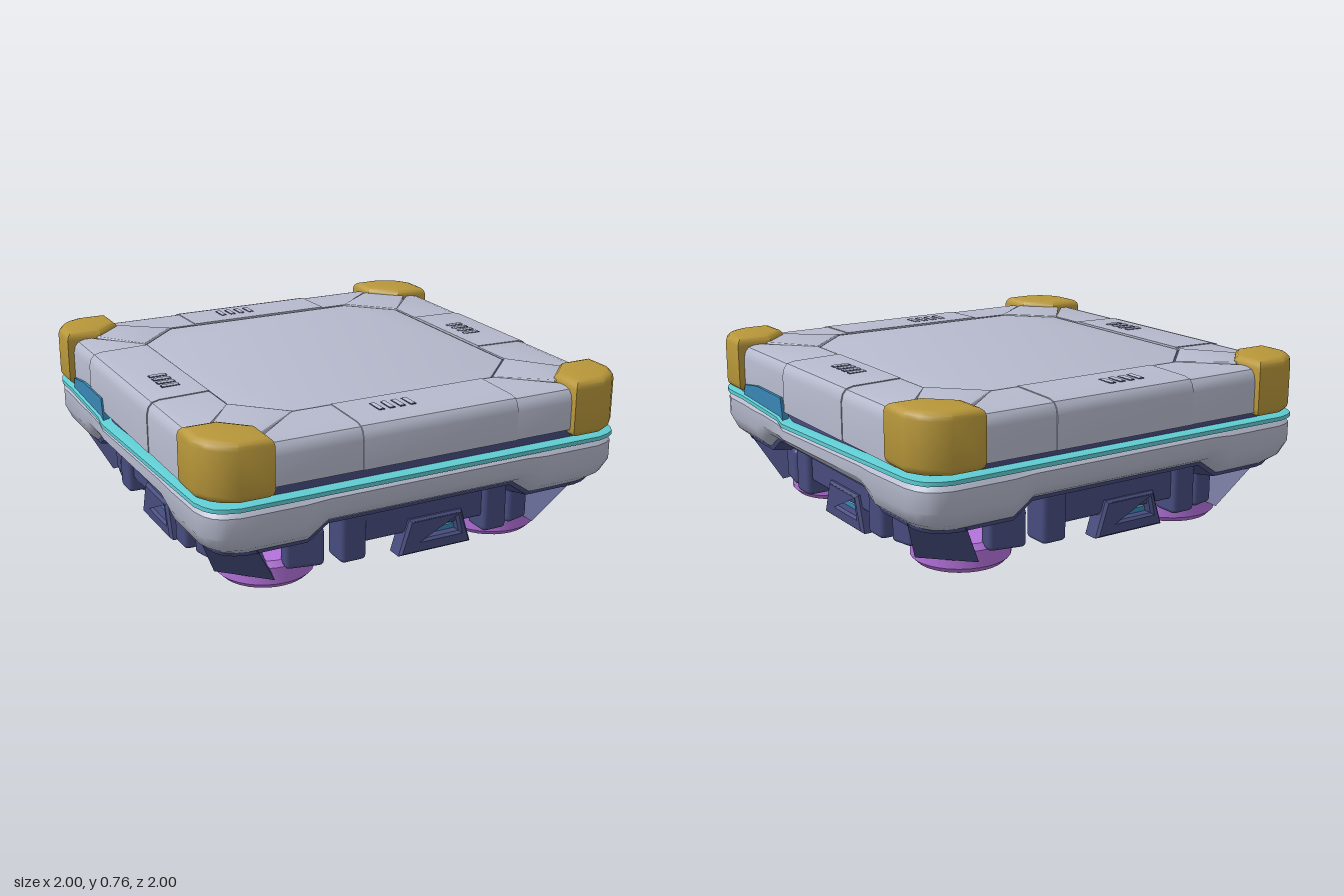
import * as THREE from 'three';
import { toCreasedNormals } from 'three/addons/utils/BufferGeometryUtils.js';
import { RoundedBoxGeometry } from 'three/addons/geometries/RoundedBoxGeometry.js';
import { ConvexGeometry } from 'three/addons/geometries/ConvexGeometry.js';

const paint = (name, color) => {
  const m = new THREE.MeshStandardMaterial({ color });
  m.name = name;
  return m;
};

export function createModel() {
  const grey = paint('shell grey', 0xb6bacd);
  const gold = paint('corner gold', 0xb8973a);
  const teal = paint('glow teal', 0x5fcdd3);
  const navy = paint('chassis navy', 0x474c7e);
  const blue = paint('inset blue', 0x3986b6);
  const purple = paint('foot purple', 0xb472dc);

  const model = new THREE.Group();
  model.name = 'platform';
  const add = (parent, name, geo, mat, x = 0, y = 0, z = 0) => {
    const mesh = new THREE.Mesh(geo, mat);
    mesh.name = name;
    mesh.position.set(x, y, z);
    parent.add(mesh);
    return mesh;
  };
  const outline = (pts) => new THREE.Shape(pts.map(([x, y]) => new THREE.Vector2(x, y)));

  // Horizontal slab from an x/z outline, between two heights
  const slab = (pts, y0, y1, b) => {
    const g = new THREE.ExtrudeGeometry(outline(pts), {
      depth: y1 - y0 - 2 * b, bevelThickness: b, bevelSize: b, bevelOffset: -b, bevelSegments: 3,
    });
    g.rotateX(Math.PI / 2);
    g.translate(0, y1 - b, 0);
    return toCreasedNormals(g, 0.6);
  };

  // Closed ring round the four sides; section(side, a) lists [scale, y], outer face upward first
  const stops = [-0.86, -0.58, -0.48, -0.1, 0.26, 0.31, 0.48, 0.58, 0.7, 0.86];
  const ring = (section) => {
    const rows = [];
    for (let k = 0; k < 4; k++) {
      const path = stops.map((a) => [1, a, a]);
      path.push([0.984, 0.917, 0.86], [0.959, 0.959, 0.86], [0.917, 0.984, 0.86]);
      for (const [x, z, a] of path) {
        rows.push(section(k, a).map(([s, y]) =>
          new THREE.Vector3(x * s, y, z * s).applyAxisAngle(new THREE.Vector3(0, 1, 0), -k * Math.PI / 2)));
      }
    }
    const n = rows[0].length, pos = [], index = [];
    rows.forEach((r) => r.forEach((p) => pos.push(p.x, p.y, p.z)));
    for (let i = 0; i < rows.length; i++) {
      const j = (i + 1) % rows.length;
      for (let v = 0; v < n; v++) {
        const w = (v + 1) % n;
        index.push(i * n + v, i * n + w, j * n + v, i * n + w, j * n + w, j * n + v);
      }
    }
    const g = new THREE.BufferGeometry();
    g.setAttribute('position', new THREE.Float32BufferAttribute(pos, 3));
    g.setIndex(index);
    return toCreasedNormals(g, 0.6);
  };

  // Seam height: dips along the two flanks
  const seam = (k, a) => {
    if (k % 2) return 0.472;
    if (a < 0.3) return 0.472 - 0.04 * (a + 0.86) / 1.12;
    return 0.472 - 0.02 * Math.max(0, (0.7 - a) / 0.39);
  };
  const hem = (a) => (Math.abs(a) < 0.5 ? 0.34 : 0.275);

  add(model, 'lowerShell', ring((k, a) => {
    const b = hem(a), t = seam(k, a), y = (f) => b + (t - b) * f;
    return [[0.93, b], [0.965, y(0.15)], [0.99, y(0.45)], [0.99, y(0.9)], [0.975, t], [0.9, t], [0.9, b]];
  }), grey);
  add(model, 'glowBand', ring((k, a) => {
    const t = seam(k, a);
    return [[0.975, t], [0.995, t + 0.006], [0.995, t + 0.024], [0.975, t + 0.03], [0.92, t + 0.03], [0.92, t]];
  }), teal);
  add(model, 'gapLiner', ring(() => [[0.945, 0.42], [0.945, 0.56], [0.9, 0.56], [0.9, 0.42]]), navy);
  add(model, 'chassisRing', ring((k, a) => {
    const b = hem(a) - 0.02;
    return [[0.92, b], [0.93, b + 0.03], [0.9, 0.4], [0.87, 0.4], [0.78, b + 0.03], [0.78, b]];
  }), navy);

  // Top panel and the dark rim around it
  const octagon = (r, c) => [[r, c], [c, r], [-c, r], [-r, c], [-r, -c], [-c, -r], [c, -r], [r, -c]];
  add(model, 'topPanel', slab(octagon(0.68, 0.485), 0.71, 0.734, 0.004), grey);
  const rimShape = outline(octagon(0.7, 0.495));
  rimShape.holes.push(new THREE.Path(octagon(0.65, 0.47).map(([x, y]) => new THREE.Vector2(x, y))));
  const rim = new THREE.ExtrudeGeometry(rimShape, { depth: 0.035, bevelEnabled: false });
  rim.rotateX(Math.PI / 2);
  add(model, 'panelRim', rim, navy, 0, 0.728, 0);

  // One length of upper frame, mitred towards the corners
  const frameStrip = (a, b, lift, bottom) => {
    const g = new THREE.ExtrudeGeometry(outline([
      [0.97, bottom], [0.97, 0.67], [0.962, 0.702], [0.945, 0.722], [0.915, 0.73], [0.69, 0.735],
      [0.69, 0.715], [0.91, 0.705], [0.94, 0.67], [0.94, bottom],
    ]), { depth: 1, bevelEnabled: false });
    const p = g.attributes.position;
    for (let i = 0; i < p.count; i++) {
      const x = p.getX(i), h = Math.min(0.75, 0.49 + (x - 0.69) * 1.4);
      p.setZ(i, p.getZ(i) < 0.5 ? Math.max(a, -h) : Math.min(b, h));
      p.setX(i, x + (x > 0.93 ? lift : 0));
      if (p.getY(i) > 0.6) p.setY(i, p.getY(i) + lift);
    }
    g.computeVertexNormals();
    return toCreasedNormals(g, 0.6);
  };

  // Latch frame with a window opening, facing +x
  const latchShape = outline([[-0.18, 0.07], [0.18, 0.07], [0.13, 0.23], [-0.13, 0.23]]);
  latchShape.holes.push(new THREE.Path([[-0.12, 0.13], [-0.1, 0.21], [0.1, 0.21], [0.12, 0.13]]
    .map(([x, y]) => new THREE.Vector2(x, y))));
  const latchGeo = toCreasedNormals(new THREE.ExtrudeGeometry(latchShape, {
    depth: 0.07, bevelThickness: 0.012, bevelSize: 0.012, bevelOffset: -0.012, bevelSegments: 1,
  }), 0.4).rotateY(Math.PI / 2);

  const flankInset = new THREE.ExtrudeGeometry(
    outline([[-0.7, 0.495], [-0.27, 0.465], [-0.29, 0.568], [-0.55, 0.57], [-0.69, 0.55]]),
    { depth: 0.03, bevelEnabled: false }).rotateY(Math.PI / 2);

  // Seams and vent positions for the flanks, front and back
  const sides = [
    { name: 'leftSide', from: -0.3, to: 0.27, vent: [0.79, -0.02], bottom: 0.505 },
    { name: 'frontSide', from: -0.43, to: 0.31, vent: [0.8, 0.08], bottom: 0.545 },
    { name: 'rightSide', from: -0.3, to: 0.46, vent: [0.81, -0.08], bottom: 0.505 },
    { name: 'backSide', from: -0.35, to: 0.36, vent: [0.82, -0.08], bottom: 0.53 },
  ];
  sides.forEach((s, k) => {
    const side = new THREE.Group();
    side.name = s.name;
    side.rotation.y = -k * Math.PI / 2;
    model.add(side);

    add(side, 'frameEnd', frameStrip(-1, s.from, 0, s.bottom), grey);
    add(side, 'frameMiddle', frameStrip(s.from, s.to, 0.004, s.bottom), grey);
    add(side, 'frameEnd', frameStrip(s.to, 1, 0, s.bottom), grey);
    for (let i = 0; i < 4; i++) {
      const z = s.vent[1] + (i - 1.5) * 0.05;
      add(side, 'ventSurround', new THREE.BoxGeometry(0.084, 0.008, 0.026), navy, s.vent[0], 0.735, z);
      add(side, 'ventSlat', new RoundedBoxGeometry(0.076, 0.05, 0.02, 2, 0.006), grey, s.vent[0], 0.719, z);
    }
    if (k % 2 === 0) add(side, 'flankInset', flankInset, blue, 0.952, 0, 0);

    // Undercarriage: bar, pillars, latch with window, flanking blocks
    add(side, 'bar', new RoundedBoxGeometry(0.1, 0.17, 0.66, 2, 0.02), navy, 0.81, 0.25, -0.055);
    for (const z of [-0.4, 0.3]) {
      add(side, 'pillar', new RoundedBoxGeometry(0.13, 0.22, 0.12, 2, 0.02), navy, 0.82, 0.21, z);
    }
    add(side, 'latch', latchGeo, navy, 0.8, 0, -0.1);
    add(side, 'windowPane', new THREE.BoxGeometry(0.008, 0.09, 0.25), blue, 0.83, 0.17, -0.1);
    add(side, 'windowGlow', new THREE.BoxGeometry(0.006, 0.045, 0.21), teal, 0.836, 0.175, -0.1);
    for (const [z, w, yaw] of [[-0.54, 0.12, 0.25], [0.5, 0.17, -0.2]]) {
      const block = add(side, 'block', new RoundedBoxGeometry(0.09, 0.17, w, 2, 0.02), navy, 0.8, 0.185, z);
      block.rotation.y = yaw;
    }

    // Corner: gold cap, pad, leg and foot
    add(side, 'cornerCap', slab([
      [0.998, 0.71], [0.998, 0.86], [0.965, 0.925], [0.925, 0.965], [0.86, 0.998], [0.71, 0.998],
      [0.71, 0.83], [0.83, 0.71],
    ], 0.51, 0.765, 0.035), gold);
    add(side, 'cornerPad', slab([
      [0.69, 0.485], [0.855, 0.7], [0.82, 0.82], [0.7, 0.855], [0.485, 0.69],
    ], 0.7, 0.738, 0.006), grey);
    const leg = [
      [0.93, 0.27, 0.76], [0.76, 0.27, 0.93], [0.76, 0.29, 0.76], [0.91, 0.31, 0.8], [0.8, 0.31, 0.91],
      [0.83, 0.07, 0.64], [0.64, 0.07, 0.83], [0.6, 0.1, 0.62], [0.62, 0.1, 0.6],
    ].map((p) => new THREE.Vector3(...p));
    add(side, 'leg', new ConvexGeometry(leg), navy);
    const foot = [[0, 0.014], [0.15, 0.014], [0.16, 0], [0.19, 0], [0.215, 0.025], [0.215, 0.1], [0.195, 0.125], [0, 0.125]];
    add(side, 'foot', toCreasedNormals(new THREE.LatheGeometry(
      foot.map(([x, y]) => new THREE.Vector2(x, y)), 32), 0.5), purple, 0.575, 0, 0.57);
  });
  return model;
}
